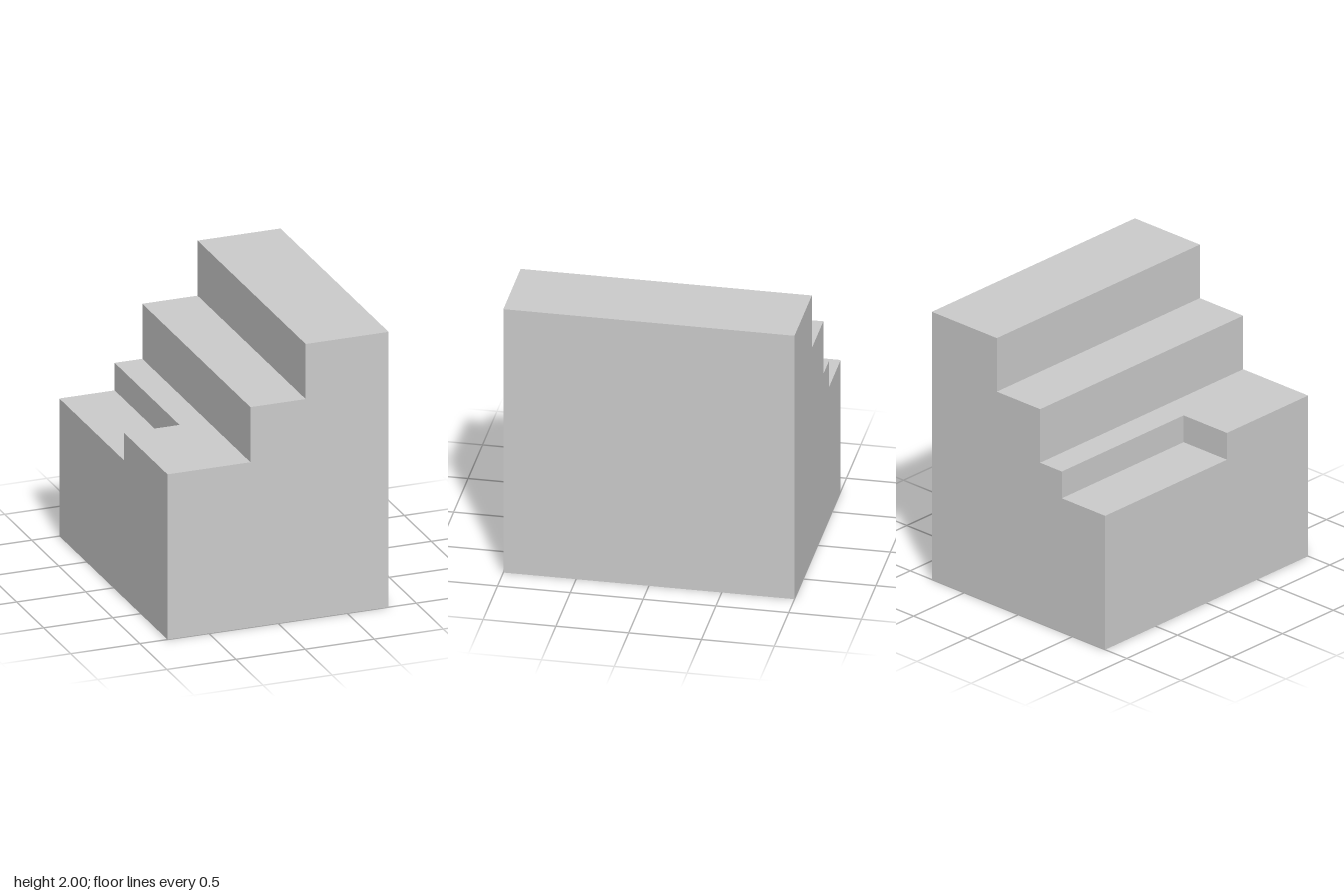
import * as THREE from 'three';

const AXES = ['x', 'y', 'z'];

// Flat polygon at a fixed coordinate on one axis, facing sign along it.
// Outline pairs are (y,z) for x faces, (z,x) for y faces, (x,y) for z faces.
function face(name, axis, sign, at, outline) {
  const a = AXES.indexOf(axis);
  const points = outline.map(([u, v]) => new THREE.Vector2(u, v));
  const positions = [];
  for (const triangle of THREE.ShapeUtils.triangulateShape(points, [])) {
    const corners = triangle.map((i) => points[i]);
    if (THREE.ShapeUtils.area(corners) * sign < 0) corners.reverse();
    for (const c of corners) {
      const p = [0, 0, 0];
      p[a] = at;
      p[(a + 1) % 3] = c.x;
      p[(a + 2) % 3] = c.y;
      positions.push(...p);
    }
  }
  const geometry = new THREE.BufferGeometry();
  geometry.setAttribute('position', new THREE.Float32BufferAttribute(positions, 3));
  geometry.computeVertexNormals();
  const material = new THREE.MeshStandardMaterial({ color: 0xcccccc, flatShading: true });
  const mesh = new THREE.Mesh(geometry, material);
  mesh.name = name;
  return mesh;
}

const rect = (u0, v0, u1, v1) => [[u0, v0], [u1, v0], [u1, v1], [u0, v1]];

export function createModel() {
  const W = 0.8, D = 1; // half width and half depth
  const low = 1.2, mid = 1.6, high = 2; // tread heights
  const step1 = -0.2, step2 = 0.2; // riser positions
  const notchX = -0.4, notchZ = 0.2, notchY = 1; // inner limits of the corner notch

  const group = new THREE.Group();
  group.name = 'steppedBlock';

  // Stepped end walls; the back one also drops into the notch
  const steps = [[W, 0], [W, high], [step2, high], [step2, mid], [step1, mid], [step1, low]];
  group.add(
    face('frontWall', 'z', 1, D, [[-W, 0], ...steps, [-W, low]]),
    face('backWall', 'z', -1, -D, [[-W, 0], ...steps, [notchX, low], [notchX, notchY], [-W, notchY]]),
  );

  // Base and side walls
  group.add(
    face('base', 'y', -1, 0, rect(-D, -W, D, W)),
    face('leftWall', 'x', 1, W, rect(0, -D, high, D)),
    face('rightWall', 'x', -1, -W,
      [[0, -D], [0, D], [low, D], [low, notchZ], [notchY, notchZ], [notchY, -D]]),
  );

  // Treads and risers
  group.add(
    face('topTread', 'y', 1, high, rect(-D, step2, D, W)),
    face('upperRiser', 'x', -1, step2, rect(mid, -D, high, D)),
    face('middleTread', 'y', 1, mid, rect(-D, step1, D, step2)),
    face('lowerRiser', 'x', -1, step1, rect(low, -D, mid, D)),
    face('lowerTread', 'y', 1, low,
      [[D, -W], [D, step1], [-D, step1], [-D, notchX], [notchZ, notchX], [notchZ, -W]]),
  );

  // Rectangular notch in the back right corner of the lower tread
  group.add(
    face('notchFloor', 'y', 1, notchY, rect(-D, -W, notchZ, notchX)),
    face('notchSideWall', 'x', -1, notchX, rect(notchY, -D, low, notchZ)),
    face('notchEndWall', 'z', -1, notchZ, rect(-W, notchY, notchX, low)),
  );

  return group;
}
